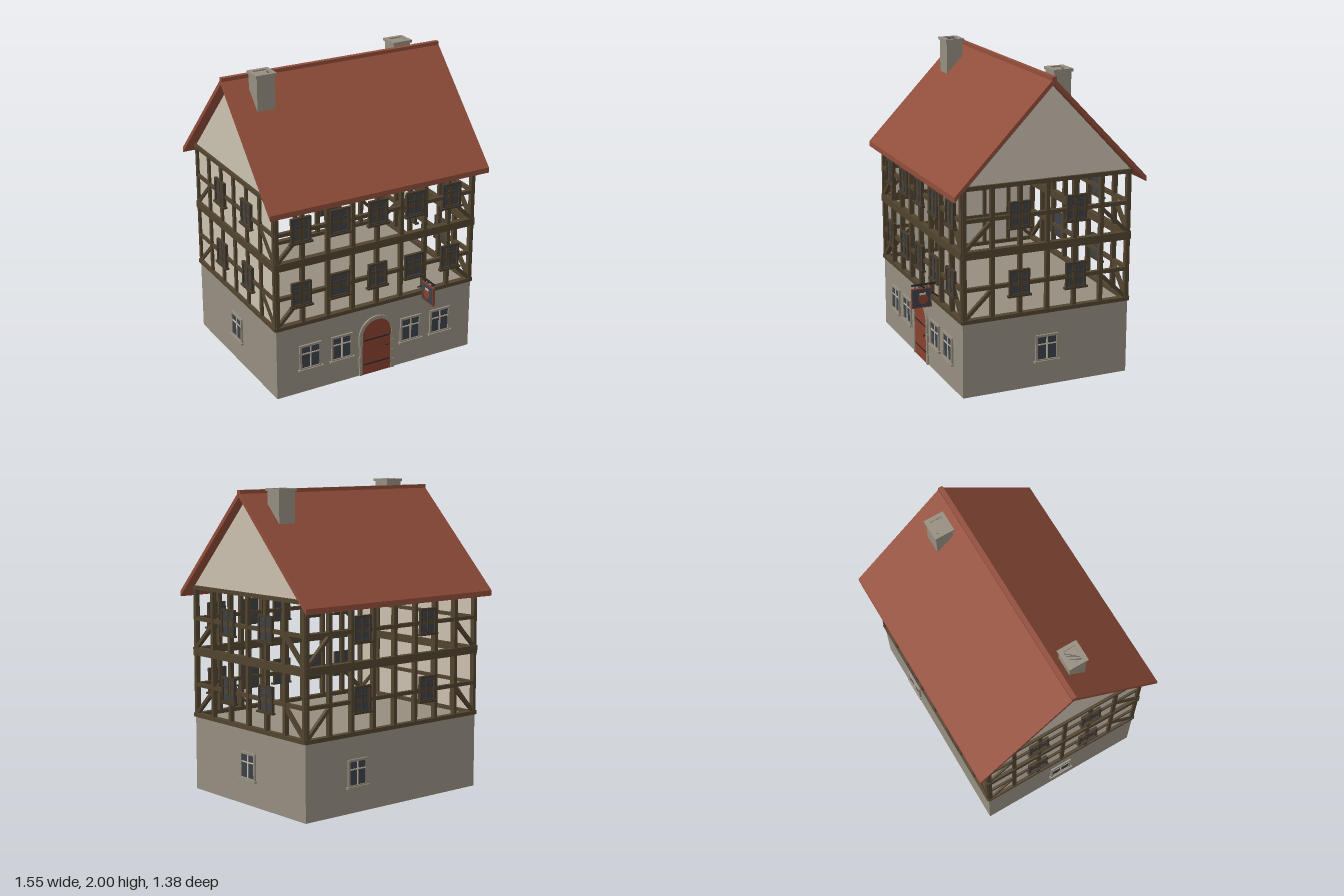
import * as THREE from 'three';

const mat = (name, color, side = THREE.FrontSide) => {
  const m = new THREE.MeshStandardMaterial({ color, side });
  m.name = name;
  return m;
};

export function createModel() {
  const M = {
    stone: mat('stone', 0x968e80),
    plaster: mat('plaster', 0xcbc1b0, THREE.DoubleSide),
    timber: mat('timber', 0x51432f),
    roof: mat('roofTile', 0x914d3a),
    door: mat('doorRed', 0x88402f),
    glass: mat('glass', 0x3b4148),
    frame: mat('darkFrame', 0x453a2c),
    bar: mat('paleBar', 0xc4bba8),
    iron: mat('iron', 0x26262a),
  };
  const ZC = -0.05, HX = 0.715, HZ = 0.56, BASE = 0.48, EAVE = 1.335;
  const house = new THREE.Group();
  house.name = 'timberHouse';

  const add = (parent, name, geo, m, x = 0, y = 0, z = 0) => {
    const mesh = new THREE.Mesh(geo, m);
    mesh.name = name;
    mesh.position.set(x, y, z);
    parent.add(mesh);
    return mesh;
  };
  const box = (parent, name, m, w, h, d, x, y, z) =>
    add(parent, name, new THREE.BoxGeometry(w, h, d), m, x, y, z);
  const group = (parent, name, x = 0, y = 0, z = 0) => {
    const g = new THREE.Group();
    g.name = name;
    g.position.set(x, y, z);
    parent.add(g);
    return g;
  };
  const extrude = (shape, depth) =>
    new THREE.ExtrudeGeometry(shape, { depth, bevelEnabled: false, curveSegments: 20 });
  const polygon = pts => new THREE.Shape(pts.map(p => new THREE.Vector2(...p)));

  // Window facing local +z, centred at x, y, with its back on z
  function addWindow(parent, name, x, y, z, w, h, frameMat, barMat, depth) {
    const g = group(parent, name, x, y, z), t = 0.014;
    box(g, 'glass', M.glass, w - t, h - t, depth * 0.5, 0, 0, depth * 0.25);
    for (const s of [-1, 1]) {
      box(g, 'frameSide', frameMat, t, h, depth, s * (w - t) / 2, 0, depth / 2);
      box(g, 'frameRail', frameMat, w, t, depth, 0, s * (h - t) / 2, depth / 2);
    }
    box(g, 'mullion', barMat, 0.01, h - 2 * t, depth * 0.8, 0, 0, depth * 0.4);
    box(g, 'transom', barMat, w - 2 * t, 0.008, depth * 0.75, 0, h * 0.14, depth * 0.375);
    box(g, 'sill', frameMat, w + 0.02, 0.012, depth + 0.008, 0, -h / 2, depth / 2 + 0.004);
  }

  // Timber frame of one wall: posts, rails, end braces and windows
  function addFrame(name, yaw, half, dist, bays, upperXs, lowerXs) {
    const wall = group(house, name, 0, 0, ZC);
    wall.rotation.y = yaw;
    const t = 0.025, d = 0.03, z = dist - 0.007, edge = half - 0.012;
    for (const [y0, y1] of [[BASE, 0.91], [0.91, EAVE]]) {
      for (let i = 0; i <= bays; i++)
        box(wall, 'post', M.timber, t, y1 - y0, d, -edge + (2 * edge * i) / bays, (y0 + y1) / 2, z);
      box(wall, 'sillBeam', M.timber, 2 * half + 0.01, t, d + 0.008, 0, y0 + t / 2, z);
      box(wall, 'headBeam', M.timber, 2 * half + 0.01, t, d + 0.008, 0, y1 - t / 2, z);
      box(wall, 'midRail', M.timber, 2 * half, 0.024, d - 0.004, 0, y0 + 0.212, z);
      const run = (2 * edge) / bays, rise = 0.175;
      for (const s of [-1, 1]) {
        const brace = box(wall, 'brace', M.timber, Math.hypot(run, rise), 0.022, d - 0.006,
          s * (edge - run / 2), y0 + 0.022 + rise / 2, z);
        brace.rotation.z = -s * Math.atan2(rise, run);
      }
      for (const x of upperXs)
        addWindow(wall, 'upperWindow', x, y0 + 0.222, dist - 0.005, 0.136, 0.165, M.frame, M.frame, 0.02);
    }
    for (const x of lowerXs)
      addWindow(wall, 'groundWindow', x, 0.25, dist - 0.002, 0.155, 0.175, M.stone, M.bar, 0.014);
    return wall;
  }

  // Stone ground floor
  box(house, 'groundFloor', M.stone, 2 * HX, BASE, 2 * HZ, 0, BASE / 2, ZC);

  const front = addFrame('frontWall', 0, HX, HZ, 8, [-0.54, -0.27, 0, 0.27, 0.54], [-0.48, -0.255, 0.255, 0.48]);
  addFrame('backWall', Math.PI, HX, HZ, 8, [-0.275, 0.275], [-0.31]);
  addFrame('leftWall', Math.PI / 2, HZ, HX, 6, [-0.19, 0.19], [0]);
  addFrame('rightWall', -Math.PI / 2, HZ, HX, 6, [-0.19, 0.19], [0]);

  // Plaster infill
  const infill = add(house, 'plasterInfill', new THREE.PlaneGeometry(2 * HZ - 0.02, EAVE - BASE),
    M.plaster, -HX + 0.008, (EAVE + BASE) / 2, ZC);
  infill.rotation.y = -Math.PI / 2;

  // Attic prism with gables
  const attic = add(house, 'attic', extrude(polygon([[-HZ, EAVE], [HZ, EAVE], [0, 1.92]]), 2 * HX - 0.01),
    M.plaster, -HX + 0.005, 0, ZC);
  attic.rotation.y = Math.PI / 2;

  // Roof slabs and ridge
  const roofShape = polygon([[-0.635, 1.262], [0, 1.918], [0.635, 1.262], [0.635, 1.296], [0, 1.953], [-0.635, 1.296]]);
  const roof = add(house, 'roof', extrude(roofShape, 1.55), M.roof, -0.775, 0, ZC - 0.004);
  roof.rotation.y = Math.PI / 2;
  box(house, 'ridgeCap', M.roof, 1.55, 0.035, 0.03, 0, 1.943, ZC - 0.004);

  // Chimneys
  for (const [x, z, top] of [[-0.557, 0.066, 2], [0.553, -0.187, 1.97]]) {
    const c = group(house, 'chimney', x, 0, z);
    box(c, 'stack', M.stone, 0.122, top - 1.65, 0.112, 0, (top + 1.65) / 2 - 0.008, 0);
    const cap = new THREE.Shape();
    cap.moveTo(-0.07, -0.065).lineTo(0.07, -0.065).lineTo(0.07, 0.065).lineTo(-0.07, 0.065);
    const hole = new THREE.Path();
    hole.moveTo(-0.045, -0.038).lineTo(-0.045, 0.038).lineTo(0.045, 0.038).lineTo(0.045, -0.038);
    cap.holes.push(hole);
    const rim = add(c, 'cap', extrude(cap, 0.018), M.stone, 0, top - 0.018, 0);
    rim.rotation.x = -Math.PI / 2;
    box(c, 'flue', M.glass, 0.09, 0.006, 0.076, 0, top - 0.011, 0);
  }

  // Arched door with stone surround
  const arch = (r, spring) => {
    const s = new THREE.Shape();
    s.moveTo(-r, 0).lineTo(r, 0).lineTo(r, spring);
    s.absarc(0, spring, r, 0, Math.PI, false);
    s.closePath();
    return s;
  };
  const door = group(front, 'door', 0, 0, HZ);
  add(door, 'doorLeaf', extrude(arch(0.106, 0.28), 0.006), M.door);
  const surround = new THREE.Shape();
  surround.moveTo(0.106, 0.28).lineTo(0.13, 0.28);
  surround.absarc(0, 0.28, 0.13, 0, Math.PI, false);
  surround.lineTo(-0.106, 0.28);
  surround.absarc(0, 0.28, 0.106, Math.PI, 0, true);
  add(door, 'archStones', extrude(surround, 0.012), M.stone);
  for (const s of [-1, 1])
    for (let i = 0; i < 4; i++) {
      const w = (i + (s > 0 ? 1 : 0)) % 2 ? 0.024 : 0.018;
      box(door, 'jambStone', M.stone, w, 0.068, 0.012, s * (0.106 + w / 2), 0.035 + i * 0.07, 0.006);
    }
  for (const y of [0.075, 0.25]) box(door, 'strapHinge', M.iron, 0.19, 0.008, 0.004, 0, y, 0.008);
  add(door, 'doorKnob', new THREE.SphereGeometry(0.009, 12, 8), M.iron, 0.074, 0.185, 0.01);

  // Hanging sign on an iron bracket
  const sign = group(house, 'hangingSign', 0.315, 0, 0);
  box(sign, 'bracketBar', M.iron, 0.01, 0.01, 0.18, 0, 0.624, 0.6);
  const strut = box(sign, 'bracketStrut', M.iron, 0.008, 0.008, 0.16, 0, 0.572, 0.565);
  strut.rotation.x = -Math.atan2(0.09, 0.125);
  for (const z of [0.585, 0.665]) box(sign, 'hanger', M.iron, 0.005, 0.03, 0.005, 0, 0.609, z);
  box(sign, 'board', M.glass, 0.012, 0.12, 0.125, 0, 0.537, 0.625);
  for (const s of [-1, 1]) {
    box(sign, 'boardEdge', M.door, 0.015, 0.126, 0.006, 0, 0.537, 0.625 + s * 0.063);
    box(sign, 'boardRail', M.door, 0.015, 0.006, 0.126, 0, 0.537 + s * 0.061, 0.625);
    const disc = add(sign, 'emblemDisc', new THREE.CylinderGeometry(0.032, 0.032, 0.004, 24), M.door,
      s * 0.007, 0.53, 0.615);
    disc.rotation.z = Math.PI / 2;
    box(sign, 'emblemBand', M.bar, 0.004, 0.012, 0.04, s * 0.008, 0.564, 0.618);
  }

  return house;
}
